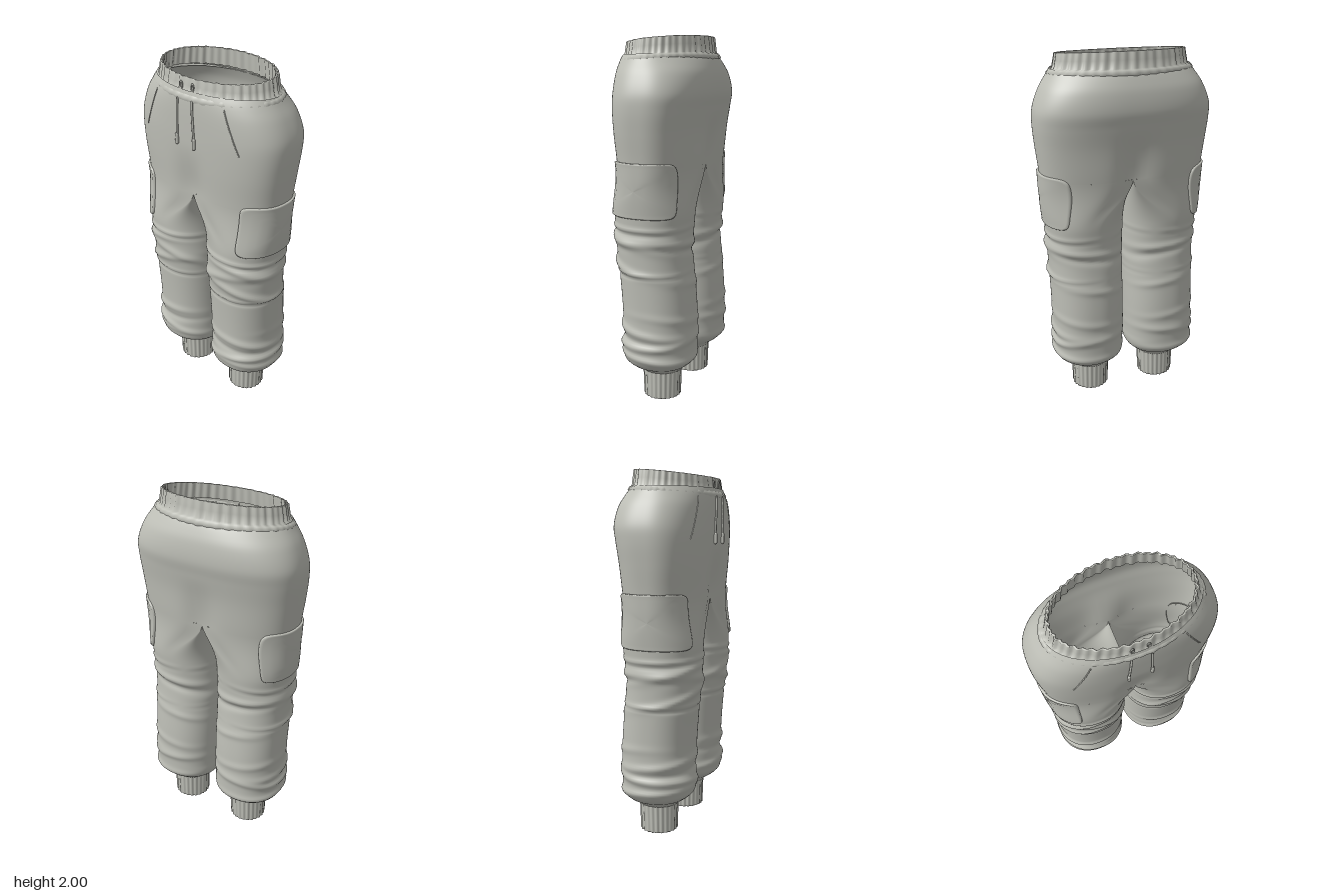
import * as THREE from 'three';

const CROTCH = 1.32;
// Half-garment sections: y, outer x, inner x, front z, back z, squareness
const SECTIONS = [
  [0.15, 0.315, 0.105, 0.09, -0.126, 2],
  [0.172, 0.335, 0.09, 0.105, -0.14, 2],
  [0.2, 0.39, 0.05, 0.15, -0.18, 2.1],
  [0.235, 0.418, 0.022, 0.186, -0.21, 2.2],
  [0.3, 0.422, 0.016, 0.191, -0.214, 2.2],
  [0.5, 0.424, 0.012, 0.195, -0.214, 2.2],
  [0.7, 0.428, 0.01, 0.208, -0.198, 2.2],
  [0.85, 0.432, 0.008, 0.222, -0.184, 2.2],
  [1.0, 0.44, 0.006, 0.23, -0.194, 2.2],
  [1.2, 0.455, 0.003, 0.234, -0.21, 2.35],
  [1.35, 0.466, 0, 0.237, -0.222, 2.5],
  [1.5, 0.483, 0, 0.245, -0.232, 2.6],
  [1.62, 0.493, 0, 0.25, -0.25, 2.6],
  [1.7, 0.488, 0, 0.252, -0.264, 2.55],
  [1.8, 0.45, 0, 0.253, -0.254, 2.4],
  [1.87, 0.407, 0, 0.25, -0.228, 2.15],
  [1.9, 0.39, 0, 0.242, -0.212, 2],
];

// Fabric folds on the legs: y, height, width, facing angle, tightness, slant
const FOLDS = [
  [1.0, 0.008, 0.012, 1.2, 0.4, 0.01], [0.975, -0.007, 0.012, 1.2, 0.4, 0.01],
  [0.93, 0.014, 0.025, 0.7, 2, 0.05], [0.9, 0.012, 0.022, -1.6, 1, 0.02],
  [0.86, -0.01, 0.02, -1.6, 1, 0.03], [0.85, 0.013, 0.025, 2.3, 2, -0.06],
  [0.79, 0.014, 0.022, 0.9, 2, 0.06], [0.73, -0.008, 0.01, 1.3, 0.5, 0],
  [0.745, 0.006, 0.012, 1.3, 0.5, 0], [0.67, 0.008, 0.02, -1.9, 4, 0.03],
  [0.48, 0.007, 0.022, -1.2, 2, 0.03], [0.42, 0.012, 0.022, 0.6, 1, 0.03],
  [0.375, -0.008, 0.018, 1.2, 1, 0.02], [0.35, 0.012, 0.022, -0.8, 0.6, -0.03],
  [0.31, 0.011, 0.018, 1.7, 1, -0.03], [0.265, 0.011, 0.018, 0.2, 0.5, 0.02],
];

const smooth = (a, b, v) => THREE.MathUtils.smoothstep(v, a, b);
const power = (v, n) => Math.sign(v) * Math.abs(v) ** (2 / n);

// Smooth interpolation of the section table
function section(y) {
  const S = SECTIONS, last = S.length - 1;
  y = THREE.MathUtils.clamp(y, S[0][0], S[last][0]);
  let i = 0;
  while (i < last - 1 && y > S[i + 1][0]) i++;
  const h = S[i + 1][0] - S[i][0], t = (y - S[i][0]) / h;
  const slope = (j, k) => {
    const a = S[Math.max(j - 1, 0)], b = S[Math.min(j + 1, last)];
    return (b[k] - a[k]) / (b[0] - a[0]);
  };
  return [1, 2, 3, 4, 5].map((k) => {
    const p = S[i][k], q = S[i + 1][k], m = slope(i, k) * h, n = slope(i + 1, k) * h;
    return p + m * t + (3 * (q - p) - 2 * m - n) * t * t + (2 * (p - q) + m + n) * t ** 3;
  });
}

// Point on the left half: a round leg that merges into half of the hips
function surface(angle, y, lift = 0) {
  const [xo, xi, zf, zb, n] = section(y);
  const c = Math.cos(angle), s = Math.sin(angle);
  const pc = power(c, n);
  const hipX = c > 0 ? xo * pc : 0;
  const legX = (xo + xi) / 2 + ((xo - xi) / 2) * pc;
  const hip = smooth(1.04, CROTCH, y);
  const x = THREE.MathUtils.lerp(legX, hipX, hip);
  let z = (zf + zb) / 2 + ((zf - zb) / 2) * power(s, n);
  // soft hollow along the centre, above the crotch
  z *= 1 - 0.13 * hip * (1 - smooth(CROTCH, 1.62, y)) * Math.exp(-((hipX / 0.09) ** 2));
  let d = lift;
  if (y < 1.08) {
    for (const [fy, amp, w, face, tight, slant] of FOLDS) {
      const a = angle - face;
      d += amp * Math.exp(-(((y - fy - slant * Math.sin(a)) / w) ** 2)) * (0.5 + 0.5 * Math.cos(a)) ** tight;
    }
  }
  return [x + d * c * (c < 0 ? 0.3 : 1), y, z + d * s];
}

// Front angle that lies at a given x
function angleAtX(x, y) {
  let lo = 0, hi = Math.PI / 2;
  for (let i = 0; i < 30; i++) {
    const mid = (lo + hi) / 2;
    if (surface(mid, y)[0] > x) lo = mid; else hi = mid;
  }
  return lo;
}

// Back angle that lies at a given z
function angleAtZ(z, y) {
  let lo = -Math.PI / 2, hi = 0;
  for (let i = 0; i < 30; i++) {
    const mid = (lo + hi) / 2;
    if (surface(mid, y)[2] < z) lo = mid; else hi = mid;
  }
  return lo;
}

// Skin of closed rings; side = -1 mirrors it in x
function loft(rows, cols, point, side = 1) {
  const pos = [], idx = [];
  for (let r = 0; r <= rows; r++) {
    for (let c = 0; c < cols; c++) {
      const [x, y, z] = point(r, (c / cols) * Math.PI * 2);
      pos.push(x * side, y, z);
    }
  }
  for (let r = 0; r < rows; r++) {
    for (let c = 0; c < cols; c++) {
      const a = r * cols + c, d = r * cols + ((c + 1) % cols);
      const b = a + cols, e = d + cols;
      if (side > 0) idx.push(a, b, d, d, b, e);
      else idx.push(a, d, b, d, e, b);
    }
  }
  const g = new THREE.BufferGeometry();
  g.setAttribute('position', new THREE.Float32BufferAttribute(pos, 3));
  g.setIndex(idx);
  g.computeVertexNormals();
  return g;
}

export function createModel() {
  const model = new THREE.Group();
  model.name = 'cargoTrousers';
  const fabric = new THREE.MeshStandardMaterial({ color: 0xbdbeb6, side: THREE.DoubleSide });
  fabric.name = 'greyFabric';
  const add = (name, geometry) => {
    const mesh = new THREE.Mesh(geometry, fabric);
    mesh.name = name;
    model.add(mesh);
  };

  // Hips
  add('hips', loft(36, 128, (r, a) => {
    const flip = Math.cos(a) < 0;
    const p = surface(flip ? Math.PI - a : a, CROTCH + (r / 36) * (1.9 - CROTCH));
    return [flip ? -p[0] : p[0], p[1], p[2]];
  }));

  // Gathered waistband: outer wall, tilted rim, inner wall
  const band = [
    [1.865, 0.4, 0.238, 0.06], [1.88, 0.407, 0.243, 0.06], [1.895, 0.395, 0.234, 0.06], [1.902, 0.374, 0.22, 0.06],
    [1.94, 0.366, 0.215, 0.08], [1.978, 0.359, 0.21, 0.1], [1.981, 0.356, 0.207, 0.1],
    [1.981, 0.35, 0.202, 0.1], [1.978, 0.347, 0.2, 0.1], [1.89, 0.36, 0.208, 0.06],
  ];
  add('waistband', loft(band.length - 1, 240, (r, a) => {
    const [y, rx, rz, tilt] = band[r];
    const gather = (r > 2 ? 0.004 : 0.0015) * (Math.cos(44 * a) + 0.5 * Math.sin(27 * a));
    const z = 0.016 + (rz + gather) * Math.sin(a);
    return [(rx + gather) * Math.cos(a), y - tilt * z, z];
  }));

  const cuff = [[0.17, 0.096], [0.003, 0.093], [0, 0.095], [0, 0.101], [0.003, 0.103], [0.08, 0.105], [0.17, 0.108]];
  for (const side of [1, -1]) {
    const tag = side > 0 ? 'left' : 'right';

    // Leg and ribbed ankle cuff
    add(tag + 'Leg', loft(110, 96, (r, a) => surface(a, 0.155 + (r / 110) * (CROTCH - 0.155)), side));
    add(tag + 'Cuff', loft(cuff.length - 1, 144, (r, a) => {
      const [y, radius] = cuff[r];
      const rr = radius + 0.003 * Math.cos(24 * a);
      return [0.21 + rr * Math.cos(a), y, -0.018 + rr * Math.sin(a)];
    }, side));

    // Cargo pocket wrapped round the outside of the thigh
    const rings = [[1, -0.006], [1, 0.008], [0.975, 0.013], [0.94, 0.012], [0.8, 0.013], [0.6, 0.014], [0.4, 0.015], [0.2, 0.015], [0, 0.015]];
    add(tag + 'CargoPocket', loft(rings.length - 1, 96, (r, a) => {
      const [size, lift] = rings[r];
      const c = Math.cos(a), s = Math.sin(a);
      const round = size / (Math.abs(c) ** 9 + Math.abs(s) ** 9) ** (1 / 9);
      const y = 1.203 + 0.147 * s * round;
      const front = angleAtX(0.318 + 0.03 * (y - 1.2), y), back = angleAtZ(-0.165, y);
      return surface(front + (back - front) * (0.5 + 0.5 * c * round), y, lift);
    }, side));

    // Line laid on the front of the garment
    const frontLine = (x0, y0, x1, y1, lift, radius) => {
      const pts = [];
      for (let i = 0; i <= 8; i++) {
        const x = x0 + ((x1 - x0) * i) / 8, y = y0 + ((y1 - y0) * i) / 8;
        const p = surface(angleAtX(x, y), y, lift);
        pts.push(new THREE.Vector3(p[0] * side, p[1], p[2]));
      }
      return new THREE.TubeGeometry(new THREE.CatmullRomCurve3(pts), 24, radius, 8);
    };
    add(tag + 'SlantPocketSeam', frontLine(0.235, 1.85, 0.33, 1.63, 0, 0.0035));
    add(tag + 'Drawstring', frontLine(0.05, 1.86, 0.06, 1.64, 0.004, 0.006));

    // Drawstring tip and eyelet
    const tip = new THREE.CapsuleGeometry(0.0095, 0.045, 4, 10);
    tip.translate(0.061 * side, 1.632, 0.256);
    add(tag + 'DrawstringTip', tip);
    const eyelet = new THREE.TorusGeometry(0.011, 0.004, 6, 16);
    eyelet.scale(0.8, 1.6, 1);
    eyelet.translate(0.04 * side, 1.918, 0.236);
    add(tag + 'Eyelet', eyelet);
  }
  return model;
}
